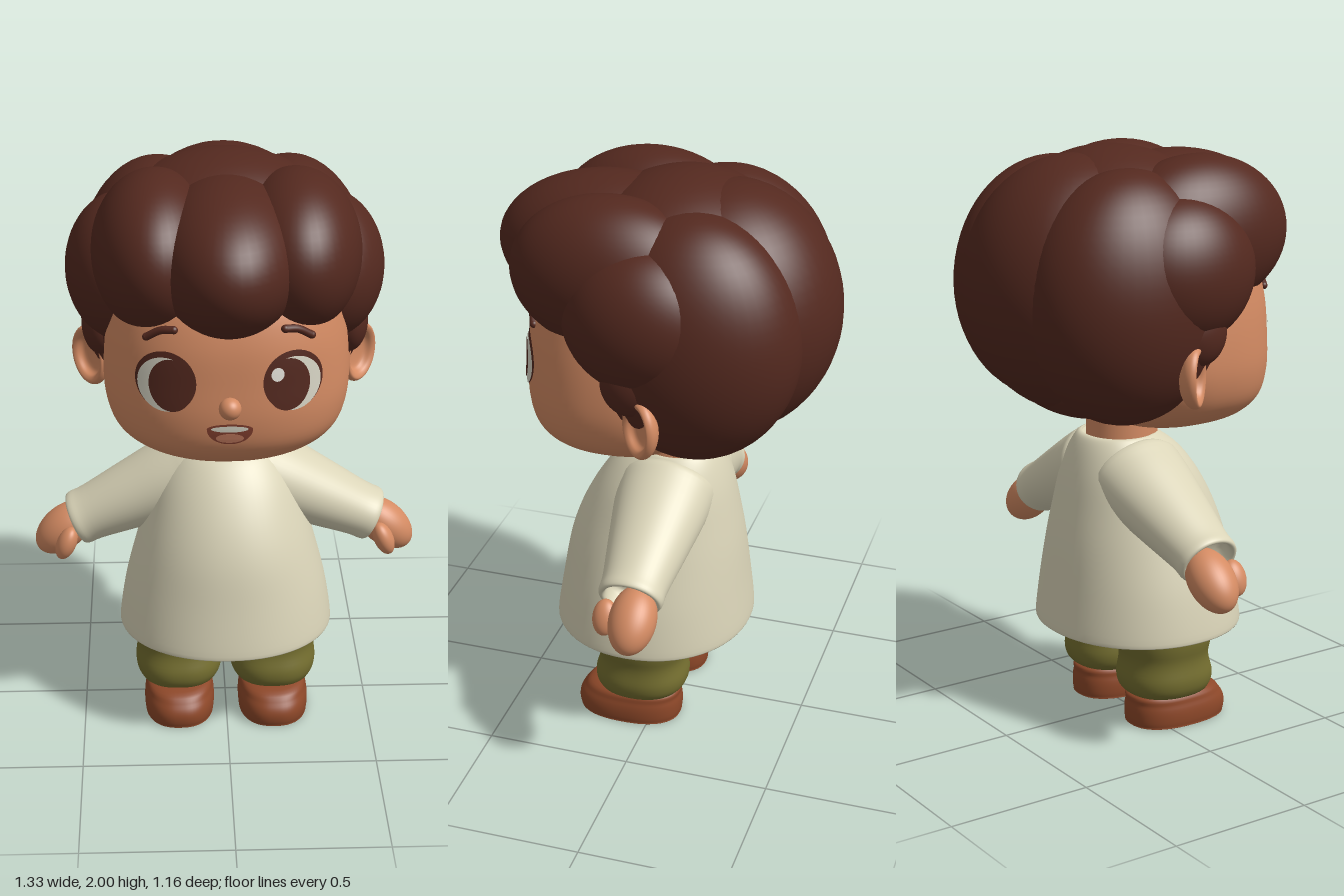
import * as THREE from 'three';

const paint = (name, color) => Object.assign(new THREE.MeshStandardMaterial({ color }), { name });
const hairBrown = paint('hair brown', 0x54291f);
const skin = paint('skin', 0xd48b63);
const cream = paint('cream cloth', 0xdad4b8);
const olive = paint('olive cloth', 0x756f30);
const leather = paint('shoe leather', 0x8e4829);
const eyeWhite = paint('eye white', 0xd9d6c6);
const glint = paint('glint', 0xf6f3ea);
const mouthRed = paint('mouth red', 0x84402f);
const tonguePink = paint('tongue pink', 0xc27a5e);

// Smooth resampling of cross-sections [y, halfWidth, zFront, zBack]
function refine(sections, steps = 5) {
  const at = i => sections[Math.min(Math.max(i, 0), sections.length - 1)];
  const out = [];
  for (let i = 0; i < sections.length - 1; i++) {
    for (let k = 0; k < steps; k++) {
      const t = k / steps;
      out.push(at(i).map((b, c) => {
        const a = at(i - 1)[c], d = at(i + 1)[c], e = at(i + 2)[c];
        return b + 0.5 * t * (d - a + t * (2 * a - 5 * b + 4 * d - e + t * (3 * (b - d) + e - a)));
      }));
    }
  }
  out.push(sections[sections.length - 1]);
  return out;
}

// Closed skin over superelliptic rings
function loft(rings, n = 2, seg = 64) {
  const pos = [], index = [];
  const pw = v => Math.sign(v) * Math.abs(v) ** (2 / n);
  rings.forEach(([y, rx, zf, zb], i) => {
    for (let j = 0; j < seg; j++) {
      const t = j / seg * Math.PI * 2;
      pos.push(rx * pw(Math.cos(t)), y, (zf + zb) / 2 + (zf - zb) / 2 * pw(Math.sin(t)));
      if (i === rings.length - 1) continue;
      const a = i * seg + j, c = i * seg + (j + 1) % seg;
      index.push(a, a + seg, c, a + seg, c + seg, c);
    }
  });
  const g = new THREE.BufferGeometry();
  g.setAttribute('position', new THREE.Float32BufferAttribute(pos, 3));
  g.setIndex(index);
  g.computeVertexNormals();
  return g;
}

// Head sections, and the face depth at a point
const HEAD_N = 2.3;
const headRings = refine([
  [1.037, 0, 0.14, 0.14], [1.04, 0.11, 0.25, 0.03], [1.06, 0.215, 0.33, -0.06],
  [1.1, 0.31, 0.395, -0.13], [1.16, 0.372, 0.44, -0.18], [1.25, 0.402, 0.458, -0.22],
  [1.36, 0.405, 0.456, -0.22], [1.5, 0.39, 0.445, -0.2], [1.63, 0.36, 0.40, -0.16],
  [1.74, 0.28, 0.30, -0.1], [1.78, 0, 0.1, 0.1]]);
function faceZ(x, y) {
  let i = 1;
  while (headRings[i][0] < y) i++;
  const a = headRings[i - 1], b = headRings[i], t = (y - a[0]) / (b[0] - a[0]);
  const [, rx, zf, zb] = a.map((v, c) => v + (b[c] - v) * t);
  const u = 1 - Math.min(1, Math.abs(x / rx)) ** HEAD_N;
  return (zf + zb) / 2 + (zf - zb) / 2 * u ** (1 / HEAD_N);
}

export function createModel() {
  const model = new THREE.Group();
  model.name = 'child';
  const add = (name, geo, mat, x = 0, y = 0, z = 0) => {
    const m = new THREE.Mesh(geo, mat);
    m.name = name;
    m.position.set(x, y, z);
    model.add(m);
    return m;
  };
  const blob = (name, mat, [x, y, z], [rx, ry, rz]) =>
    add(name, new THREE.SphereGeometry(1, 48, 32).scale(rx, ry, rz), mat, x, y, z);
  // Thin oval that follows the face; the upper half may have its own height
  const patch = (name, mat, x, y, rx, ry, lift, top = ry) => {
    const g = new THREE.RingGeometry(0, 1, 48, 6), p = g.attributes.position;
    for (let i = 0; i < p.count; i++) {
      const px = x + p.getX(i) * rx, v = p.getY(i), py = y + v * (v > 0 ? top : ry);
      p.setXYZ(i, px, py, faceZ(px, py) + lift);
    }
    g.computeVertexNormals();
    return add(name, g, mat);
  };
  const lathe = pts => new THREE.LatheGeometry(
    new THREE.SplineCurve(pts.map(p => new THREE.Vector2(...p))).getPoints(40)
      .map(p => p.setX(Math.max(0, p.x))), 48);

  // Head, neck, nose
  add('head', loft(headRings, HEAD_N, 96), skin);
  add('neck', new THREE.CylinderGeometry(0.12, 0.125, 0.2, 40), skin, 0, 1.04, -0.02);
  blob('nose', skin, [0, 1.305, 0.468], [0.036, 0.036, 0.037]);

  // Mouth
  patch('mouth', mouthRed, 0, 1.23, 0.074, 0.056, 0.003, 0.018);
  patch('teeth', eyeWhite, 0, 1.232, 0.06, 0.012, 0.006, 0.01);
  patch('tongue', tonguePink, 0, 1.198, 0.045, 0.017, 0.006);

  // Hair core, fringe and nape
  blob('hairCrown', hairBrown, [0, 1.58, -0.06], [0.46, 0.42, 0.42]);
  blob('hairFringe', hairBrown, [0, 1.72, 0.18], [0.25, 0.25, 0.4]);
  blob('hairBack', hairBrown, [0, 1.55, -0.2], [0.38, 0.43, 0.383]);
  blob('hairNape', hairBrown, [0, 1.28, -0.19], [0.34, 0.18, 0.22]);

  // Shirt: hollow hem, narrowing to the collar
  add('shirt', loft(refine([
    [0.62, 0, 0.04, 0.04], [0.62, 0.28, 0.31, -0.23], [0.5, 0.325, 0.345, -0.265],
    [0.36, 0.35, 0.37, -0.28], [0.345, 0.36, 0.381, -0.291], [0.355, 0.37, 0.39, -0.3],
    [0.5, 0.347, 0.367, -0.285], [0.65, 0.308, 0.34, -0.268], [0.77, 0.272, 0.298, -0.248],
    [0.88, 0.235, 0.238, -0.226], [0.96, 0.19, 0.175, -0.202], [1.01, 0.148, 0.11, -0.178],
    [1.022, 0.13, 0.085, -0.158], [1.01, 0.115, 0.07, -0.14], [1.0, 0, -0.03, -0.03]]), 2.1), cream);
  blob('hips', olive, [0, 0.55, 0.04], [0.27, 0.13, 0.2]);

  for (const s of [1, -1]) {
    const side = s > 0 ? 'left' : 'right';

    // Eye, lash rim and brow
    patch(side + 'EyeRim', hairBrown, s * 0.203, 1.383, 0.097, 0.1, 0.003);
    patch(side + 'EyeWhite', eyeWhite, s * 0.205, 1.374, 0.088, 0.09, 0.006);
    patch(side + 'Iris', hairBrown, s * 0.186, 1.374, 0.071, 0.087, 0.009);
    const brow = [[0.175, 1.553], [0.215, 1.548], [0.262, 1.52]]
      .map(([x, y]) => new THREE.Vector3(s * x, y, faceZ(x, y) + 0.004));
    add(side + 'Brow', new THREE.TubeGeometry(new THREE.CatmullRomCurve3(brow), 20, 0.013, 12), hairBrown);
    for (const e of [brow[0], brow[2]]) blob(side + 'BrowTip', hairBrown, e.toArray(), [0.013, 0.013, 0.013]);

    // Ear: shallow dish turned outward
    const ear = add(side + 'Ear', lathe([[0, -0.035], [0.05, -0.032], [0.082, -0.012], [0.093, 0.012],
      [0.084, 0.03], [0.068, 0.024], [0.05, 0.002], [0, -0.005]])
      .rotateX(Math.PI / 2).scale(0.9, 1.12, 1), skin, s * 0.445, 1.295, -0.05);
    ear.rotation.set(0, s * 0.85, -s * 0.15);

    // Hair locks
    blob(side + 'FringeLock', hairBrown, [s * 0.23, 1.72, 0.12], [0.21, 0.26, 0.34]);
    blob(side + 'TempleLock', hairBrown, [s * 0.33, 1.62, -0.02], [0.2, 0.25, 0.27]);
    blob(side + 'Sideburn', hairBrown, [s * 0.415, 1.43, 0], [0.065, 0.11, 0.1]);
    blob(side + 'BackLock', hairBrown, [s * 0.22, 1.53, -0.15], [0.28, 0.42, 0.36]);

    // Sleeve with rolled cuff
    const sleeve = add(side + 'Sleeve', lathe([[0.0, -0.1], [0.13, -0.06], [0.14, 0.02], [0.118, 0.2],
      [0.096, 0.36], [0.094, 0.415], [0.086, 0.43], [0.075, 0.42], [0.07, 0.36], [0, 0.35]])
      .scale(1, 1, 1.18), cream, s * 0.13, 0.87, -0.025);
    sleeve.rotation.z = -s * 2.01;

    // Mitten hand and thumb
    blob(side + 'Hand', skin, [s * 0.563, 0.642, -0.05], [0.075, 0.12, 0.08]).rotation.z = s * 0.85;
    blob(side + 'Thumb', skin, [s * 0.553, 0.628, 0.05], [0.034, 0.062, 0.042]).rotation.z = s * 0.4;

    // Trouser leg and shoe
    add(side + 'TrouserLeg', loft(refine([
      [0.11, 0, 0.05, 0.05], [0.115, 0.11, 0.17, -0.07], [0.135, 0.14, 0.2, -0.108],
      [0.18, 0.152, 0.208, -0.12], [0.25, 0.146, 0.192, -0.11], [0.34, 0.158, 0.203, -0.125],
      [0.56, 0.15, 0.2, -0.13], [0.6, 0, 0.04, 0.04]]), 2.3), olive, s * 0.166);
    add(side + 'Shoe', loft(refine([
      [0.005, 0, 0.09, 0.09], [0.005, 0.108, 0.25, -0.075], [0.012, 0.12, 0.27, -0.093],
      [0.05, 0.123, 0.275, -0.097], [0.085, 0.117, 0.258, -0.093], [0.118, 0.1, 0.215, -0.08],
      [0.135, 0, 0.06, 0.06]]), 2.4), leather, s * 0.166);
  }
  patch('eyeGlint', glint, 0.152, 1.412, 0.021, 0.023, 0.012);

  return model;
}
